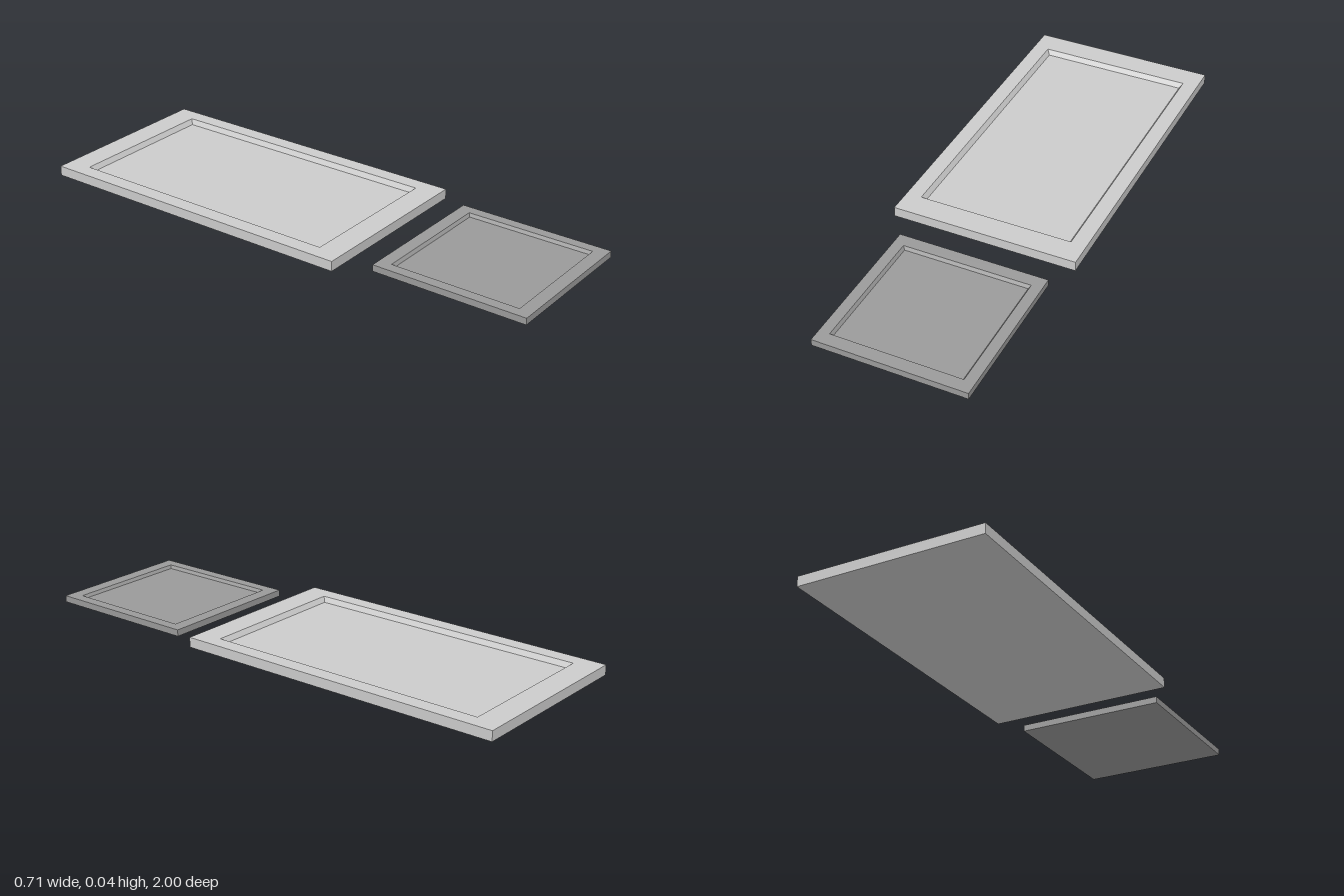
import * as THREE from 'three';

// Rectangular panel with a raised rim and a sunken field with sloping sides,
// skinned through rectangular loops from underside to field.
function panel(name, color, { x, z, w, d, h, rimX, rimZ, slope, depth }) {
  const loops = [
    [w / 2, d / 2, 0],                                            // underside
    [w / 2, d / 2, h],                                            // outer top edge
    [w / 2 - rimX, d / 2 - rimZ, h],                              // inner rim edge
    [w / 2 - rimX - slope, d / 2 - rimZ - slope, h - depth],      // field edge
  ];
  const pos = [];
  for (const [a, b, y] of loops) pos.push(-a, y, b, a, y, b, a, y, -b, -a, y, -b);

  const index = [0, 2, 1, 0, 3, 2]; // underside, facing down
  for (let l = 0; l < loops.length - 1; l++) {
    for (let i = 0; i < 4; i++) {
      const a = l * 4 + i, b = l * 4 + (i + 1) % 4;
      index.push(a, b, b + 4, a, b + 4, a + 4);
    }
  }
  const f = (loops.length - 1) * 4;
  index.push(f, f + 1, f + 2, f, f + 2, f + 3); // field, facing up

  const indexed = new THREE.BufferGeometry();
  indexed.setAttribute('position', new THREE.Float32BufferAttribute(pos, 3));
  indexed.setIndex(index);
  const geometry = indexed.toNonIndexed();
  geometry.computeVertexNormals();

  const mesh = new THREE.Mesh(geometry, new THREE.MeshStandardMaterial({ color }));
  mesh.name = name;
  mesh.position.set(x, 0, z);
  return mesh;
}

export function createModel() {
  const model = new THREE.Group();
  model.name = 'recessedPanels';
  model.add(
    panel('largePanel', 0xcccccc, {
      x: 0, z: -0.355, w: 0.71, d: 1.29, h: 0.038,
      rimX: 0.059, rimZ: 0.095, slope: 0.012, depth: 0.019,
    }),
    panel('smallPanel', 0x9a9a9a, {
      x: 0.016, z: 0.7, w: 0.574, d: 0.6, h: 0.025,
      rimX: 0.041, rimZ: 0.05, slope: 0.008, depth: 0.012,
    }),
  );
  return model;
}
